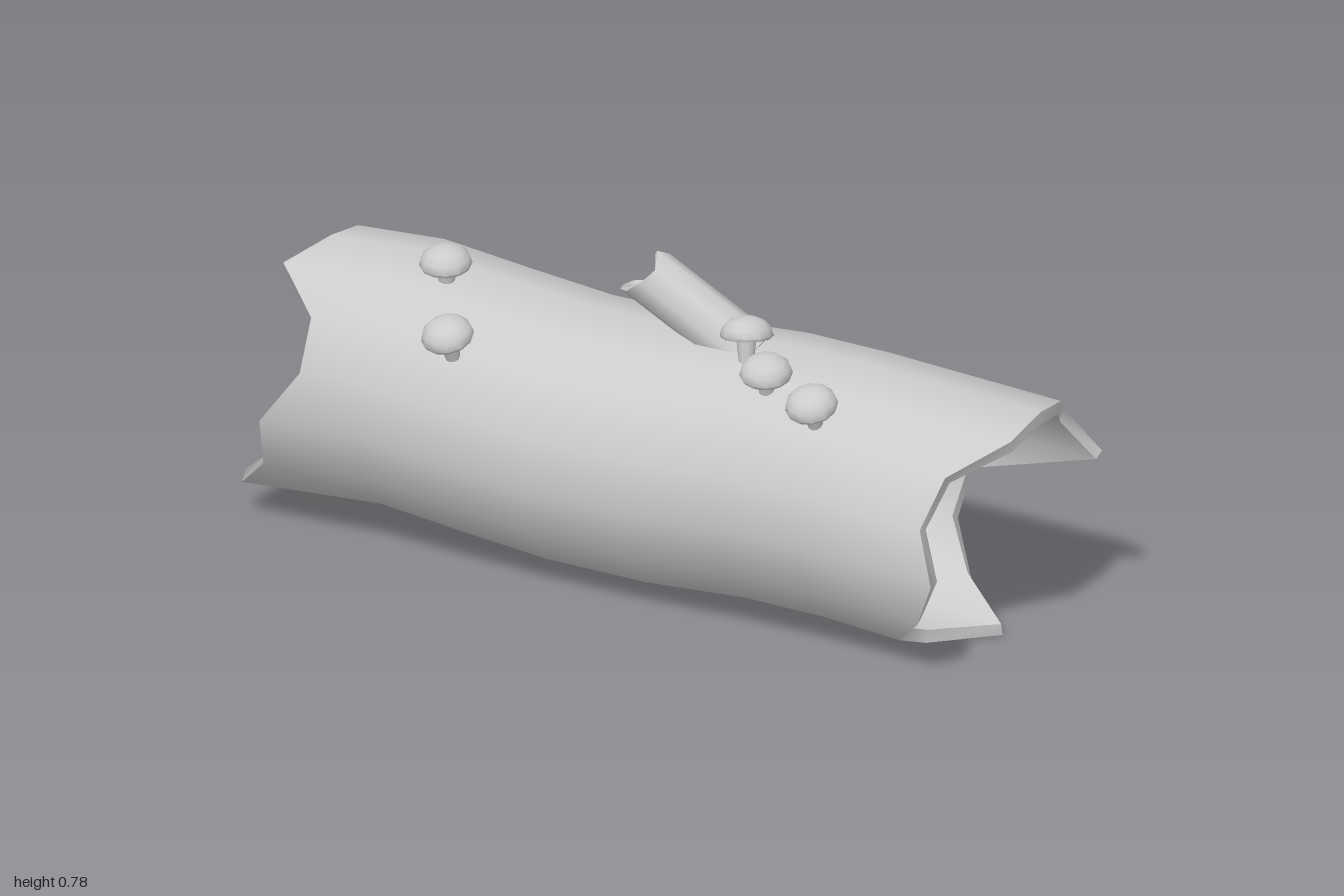
import * as THREE from 'three';
import { toCreasedNormals } from 'three/addons/utils/BufferGeometryUtils.js';

const material = new THREE.MeshStandardMaterial({ color: 0xcccccc, side: THREE.DoubleSide });

// Height of the log's centre line along x
const SPINE = [[-1, 0.335], [-0.8, 0.348], [-0.57, 0.362], [-0.35, 0.337], [-0.15, 0.317], [0.1, 0.314],
  [0.35, 0.33], [0.55, 0.326], [0.75, 0.309], [1, 0.3]];

function spineHeight(x) {
  let k = 0;
  while (k < SPINE.length - 2 && x > SPINE[k + 1][0]) k++;
  const [x0, y0] = SPINE[k], [x1, y1] = SPINE[k + 1];
  return THREE.MathUtils.mapLinear(x, x0, x1, y0, y1);
}

// Hollow tube along x with jagged ends: one end position per side, side 0 on top, turning to +z
function hollowTube(radius, wall, leftEnds, middle, rightEnds, height) {
  const sides = leftEnds.length;
  const stations = middle.length + 2;
  const loop = stations * 2;
  const positions = [], index = [];
  for (let i = 0; i < sides; i++) {
    const a = (i / sides) * Math.PI * 2;
    const xs = [leftEnds[i], ...middle, rightEnds[i]];
    // Outer skin from left to right, then inner skin back again
    for (let j = 0; j < loop; j++) {
      const outer = j < stations;
      const x = xs[outer ? j : loop - 1 - j];
      const r = outer ? radius : radius - wall;
      positions.push(x, height(x) + r * Math.cos(a), r * Math.sin(a));
    }
    for (let j = 0; j < loop; j++) {
      const row = i * loop, next = ((i + 1) % sides) * loop, k = (j + 1) % loop;
      index.push(row + j, next + j, next + k, row + j, next + k, row + k);
    }
  }
  const geometry = new THREE.BufferGeometry();
  geometry.setAttribute('position', new THREE.Float32BufferAttribute(positions, 3));
  geometry.setIndex(index);
  return toCreasedNormals(geometry, 0.9);
}

function addMesh(parent, name, geometry) {
  const mesh = new THREE.Mesh(geometry, material);
  mesh.name = name;
  parent.add(mesh);
  return mesh;
}

// Mushroom with its origin at the centre of the cap's rim
function createMushroom(capGeometry, stemGeometry) {
  const mushroom = new THREE.Group();
  mushroom.name = 'mushroom';
  addMesh(mushroom, 'mushroomCap', capGeometry);
  addMesh(mushroom, 'mushroomStem', stemGeometry).position.y = -0.025;
  return mushroom;
}

export function createModel() {
  const model = new THREE.Group();
  model.name = 'hollowLog';

  // Log shell with broken ends
  const logLeft = [-0.79, -0.845, -0.72, -0.715, -0.81, -0.82, -0.92, -0.92, -0.92, -1, -0.8, -0.8, -0.89, -0.79, -0.79];
  const logRight = [1, 0.99, 0.88, 0.85, 0.885, 0.83, 0.74, 0.745, 0.87, 0.73, 0.65, 0.67, 1, 0.94, 0.985];
  const logMiddle = SPINE.slice(2, 8).map(([x]) => x);
  addMesh(model, 'log', hollowTube(0.305, 0.03, logLeft, logMiddle, logRight, spineHeight));

  // Broken hollow branch leaning out of the top
  const branchTip = [-0.318, -0.29, -0.3, -0.32, -0.342, -0.335, -0.295, -0.285, -0.3];
  const branch = addMesh(model, 'branchStub',
    hollowTube(0.066, 0.012, branchTip, [-0.15], branchTip.map(() => 0), () => 0));
  branch.position.set(0.28, 0.582, -0.003);
  branch.rotation.z = -0.49;

  // Domed cap with a thin lip and shallow hollow underside
  const capProfile = [[0, 0.006], [0.03, 0.004], [0.056, -0.005], [0.06, 0.002], [0.055, 0.02], [0.041, 0.034], [0.022, 0.042], [0, 0.045]]
    .map(([x, y]) => new THREE.Vector2(x, y));
  const cap = toCreasedNormals(new THREE.LatheGeometry(capProfile, 12), 0.9);
  const stem = new THREE.CylinderGeometry(0.025, 0.017, 0.07, 10);

  // Mushrooms: x, y, z, tilt towards the front, tilt to the side
  const spots = [
    [-0.465, 0.679, 0.068, 0.1, 0],
    [-0.365, 0.594, 0.245, 0.32, 0.05],
    [0.295, 0.669, 0.07, -0.2, 0.1],
    [0.39, 0.629, 0.155, 0.18, -0.05],
    [0.535, 0.603, 0.21, 0.33, 0],
  ];
  for (const [x, y, z, tiltX, tiltZ] of spots) {
    const mushroom = createMushroom(cap, stem);
    mushroom.position.set(x, y, z);
    mushroom.rotation.set(tiltX, 0, tiltZ);
    model.add(mushroom);
  }
  return model;
}
